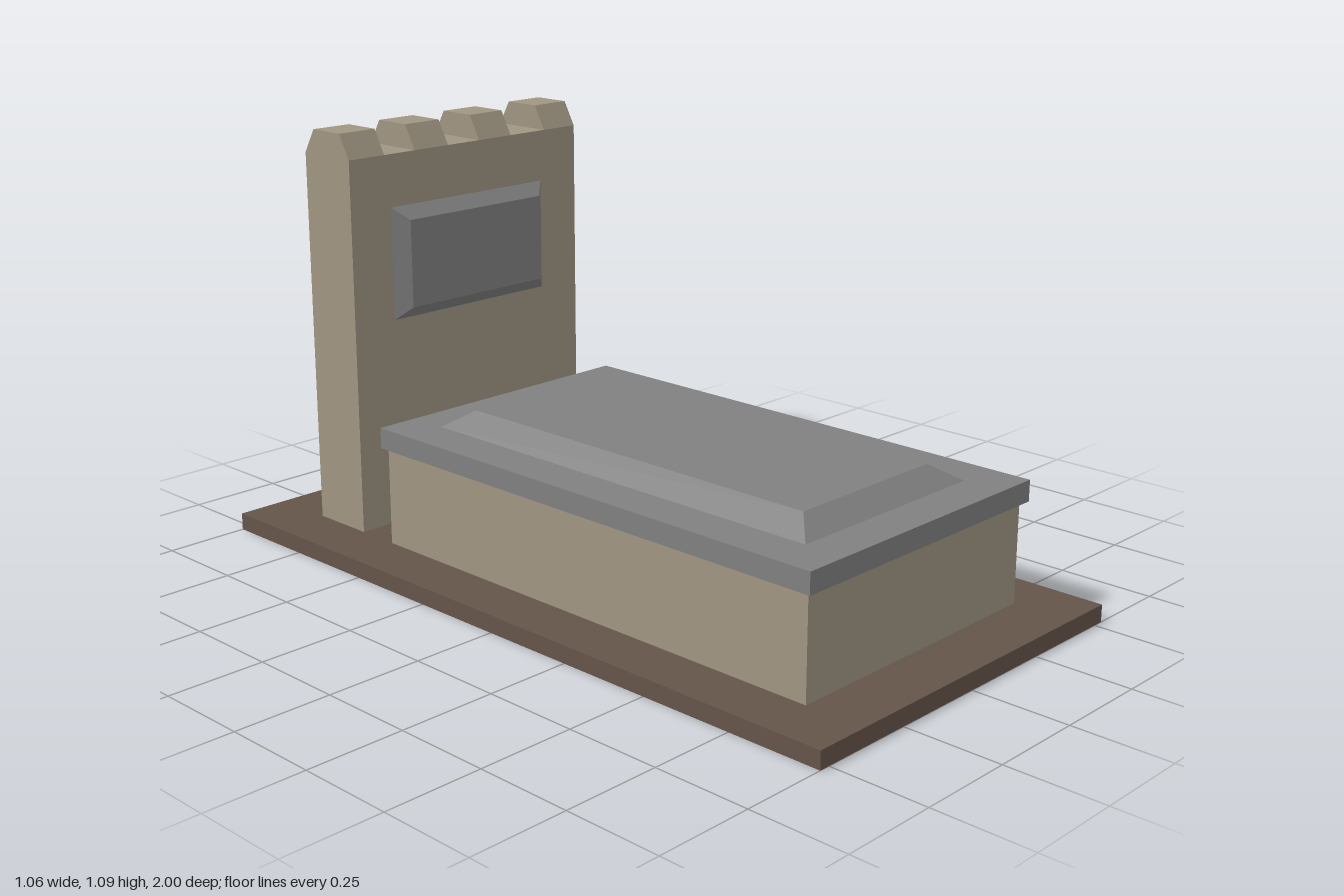
import * as THREE from 'three';

const paint = (name, color) => {
  const m = new THREE.MeshStandardMaterial({ color, side: THREE.DoubleSide });
  m.name = name;
  return m;
};

// Flat-faced open shell through rectangular rings [x0, x1, y, z0, z1], optionally closed at the end.
function shell(name, material, rings, capped = true) {
  const pos = [];
  const quad = (a, b, c, d) => pos.push(...a, ...b, ...c, ...a, ...c, ...d);
  const loops = rings.map(([x0, x1, y, z0, z1]) =>
    [[x0, y, z1], [x1, y, z1], [x1, y, z0], [x0, y, z0]]);
  for (let r = 0; r < loops.length - 1; r++) {
    for (let i = 0; i < 4; i++) {
      const j = (i + 1) % 4;
      quad(loops[r][i], loops[r][j], loops[r + 1][j], loops[r + 1][i]);
    }
  }
  if (capped) quad(...loops[loops.length - 1]);
  const g = new THREE.BufferGeometry();
  g.setAttribute('position', new THREE.Float32BufferAttribute(pos, 3));
  g.computeVertexNormals();
  const mesh = new THREE.Mesh(g, material);
  mesh.name = name;
  return mesh;
}

export function createModel() {
  const group = new THREE.Group();
  group.name = 'tomb';
  const earth = paint('brownEarth', 0x655549);
  const stone = paint('tanStone', 0xa09582);
  const slate = paint('greySlate', 0x808080);

  const W = 0.388, ground = 0.045;      // half width of the stonework, top of the plinth
  const front = 0.845, back = -0.537;   // ends of the tomb chest

  // Plinth: hollow below, with an opening under the chest
  group.add(shell('plinth', earth, [
    [-0.528, 0.528, 0, -1, 1],
    [-0.528, 0.528, ground, -1, 1],
    [-W, W, ground, back, front],
  ], false));

  // Tomb chest: four walls only
  group.add(shell('chestWalls', stone, [
    [-W, W, ground, back, front],
    [-W, W, 0.303, back, front],
  ], false));

  // Lid: hollow slab with a raised bevelled panel
  group.add(shell('lid', slate, [
    [-0.403, 0.403, 0.303, -0.548, 0.861],
    [-0.403, 0.403, 0.357, -0.548, 0.861],
    [-0.29, 0.29, 0.357, -0.444, 0.754],
    [-0.225, 0.225, 0.4, -0.383, 0.693],
  ]));

  // Headstone slab
  const zBack = -0.83, zFront = -0.653, shoulder = 1.027;
  group.add(shell('headstone', stone, [
    [-W, W, ground, zBack, zFront],
    [-W, W, shoulder, zBack, zFront],
  ]));

  // Battlements, chamfered front and back
  for (const x of [-W, -0.177, 0.042, 0.276]) {
    group.add(shell('battlement', stone, [
      [x, x + 0.112, shoulder, zBack, zFront],
      [x, x + 0.112, 1.09, zBack + 0.037, zFront - 0.035],
    ]));
  }

  // Bevelled plaque, built lying down and turned to face the front
  const plaque = shell('plaque', slate, [
    [-0.26, 0.26, 0, -0.148, 0.148],
    [-0.224, 0.224, 0.033, -0.115, 0.115],
  ]);
  plaque.rotation.x = Math.PI / 2;
  plaque.position.set(0, 0.742, zFront);
  group.add(plaque);

  return group;
}
